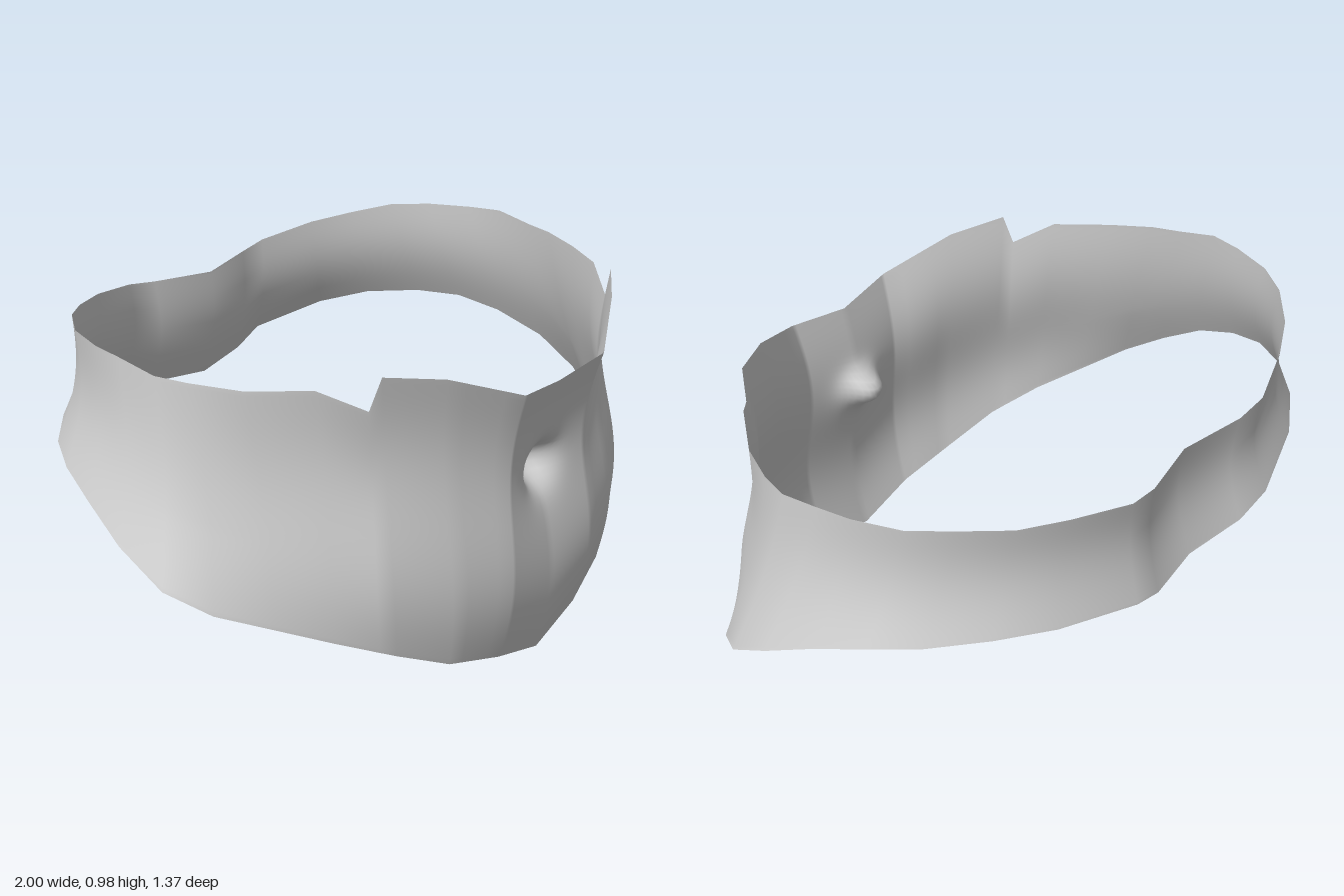
import * as THREE from 'three';

// Half outline from front centre round the left side to back centre:
// [top x, y, z,  bottom x, y, z,  subdivisions to the next column]
const COLUMNS = [
  [0, .83, .665, 0, 0, .635, 14],
  [.2, .855, .685, .2, .06, .635, 4],
  [.41, .94, .585, .39, .115, .60, 1],
  [.56, .97, .495, .55, .195, .54, 1],
  [.58, .88, .47, .59, .215, .515, 1],
  [.67, .94, .375, .69, .265, .45, 1],
  [.78, .94, .235, .81, .325, .35, 1],
  [.84, .95, .11, .93, .385, .25, 1],
  [.865, .955, .02, .995, .445, .14, 1],
  [.87, .98, -.1, 1, .53, 0, 1],
  [.85, .98, -.2, .96, .6, -.15, 1],
  [.80, .98, -.33, .91, .64, -.28, 1],
  [.72, .98, -.43, .83, .655, -.40, 1],
  [.61, .96, -.52, .70, .66, -.52, 1],
  [.48, .945, -.585, .55, .645, -.61, 1],
  [.3, .915, -.645, .31, .605, -.685, 1],
  [.2, .90, -.64, .2, .565, -.675, 1],
  [0, .89, -.595, 0, .55, -.64, 1],
];
const ROWS = 44;

// Depth of the navel: steep hood above, long soft slope below
function navelDepth(x, y) {
  const dy = y - .575;
  const r = Math.hypot(x / .06, dy / (dy > 0 ? .045 : .06));
  const pit = .075 / (1 + Math.pow(r, 4));
  const slope = dy < 0 ? .012 * Math.exp(-((x / .07) ** 2) - (dy / .1) ** 2) : .012 * Math.exp(-r * r);
  return pit + slope;
}

// Point at height fraction t on one column, curved out at the belly and in at the waist
function surfacePoint(c, t) {
  const top = new THREE.Vector3(c[0], c[1], c[2]);
  const p = new THREE.Vector3(c[3], c[4], c[5]).lerp(top, t);
  const front = THREE.MathUtils.clamp((p.z - .2) / .4, 0, 1);
  const bulge = front * .03 * Math.sin(2 * Math.PI * t) - (1 - front) * .028 * Math.sin(Math.PI * t);
  const len = Math.hypot(p.x, p.z);
  p.x += p.x / len * bulge;
  p.z += p.z / len * bulge;
  if (p.z > .4) p.z -= navelDepth(p.x, p.y);
  return p;
}

function createBandGeometry() {
  // Refine the half outline, then mirror it into a full loop
  const half = [];
  COLUMNS.forEach((c, i) => {
    const next = COLUMNS[i + 1];
    if (!next) return half.push(c);
    for (let k = 0; k < c[6]; k++) half.push(c.map((v, j) => v + (next[j] - v) * k / c[6]));
  });
  const mirrored = half.slice(1, -1).reverse().map(([a, b, c, d, e, f]) => [-a, b, c, -d, e, f]);
  const loop = [...half, ...mirrored];

  const positions = [];
  const index = [];
  const stride = ROWS + 1;
  loop.forEach((c, i) => {
    const next = (i + 1) % loop.length;
    for (let r = 0; r <= ROWS; r++) {
      positions.push(...surfacePoint(c, r / ROWS).toArray());
      if (r === ROWS) continue;
      const a = i * stride + r;
      const b = next * stride + r;
      index.push(a, b, b + 1, a, b + 1, a + 1);
    }
  });
  const geometry = new THREE.BufferGeometry();
  geometry.setAttribute('position', new THREE.Float32BufferAttribute(positions, 3));
  geometry.setIndex(index);
  geometry.computeVertexNormals();
  return geometry;
}

export function createModel() {
  const group = new THREE.Group();
  group.name = 'waist';
  const material = new THREE.MeshStandardMaterial({ color: 0xcccccc, side: THREE.DoubleSide });
  // Open band of the abdomen and lower back, with the navel pressed in
  const band = new THREE.Mesh(createBandGeometry(), material);
  band.name = 'abdomenBand';
  group.add(band);
  return group;
}
